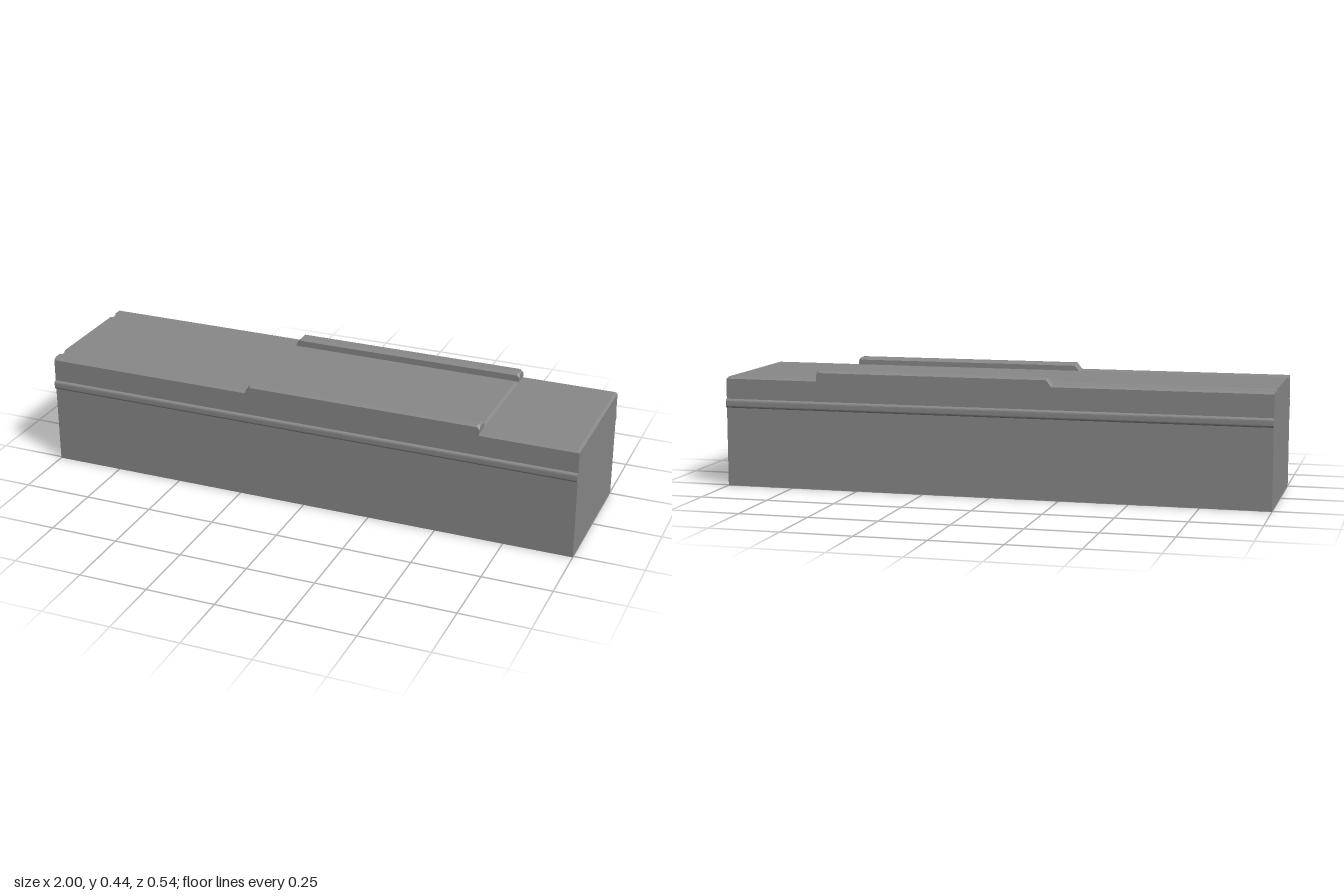
import * as THREE from 'three';

const material = new THREE.MeshStandardMaterial({ color: 0x888888, flatShading: true });

function makeMesh(name, geometry) {
  geometry.computeVertexNormals();
  const mesh = new THREE.Mesh(geometry, material);
  mesh.name = name;
  return mesh;
}

// Block centred on z, its top face drawn in at the right end and both sides
function taperedBlock(name, [x0, x1], [y0, y1], halfWidth, inset = 0) {
  const geometry = new THREE.BoxGeometry(x1 - x0, y1 - y0, halfWidth * 2);
  geometry.translate((x0 + x1) / 2, (y0 + y1) / 2, 0);
  const p = geometry.attributes.position;
  for (let i = 0; i < p.count; i++) {
    if (p.getY(i) < (y0 + y1) / 2) continue;
    if (p.getX(i) > (x0 + x1) / 2) p.setX(i, p.getX(i) - inset);
    p.setZ(i, p.getZ(i) - Math.sign(p.getZ(i)) * inset);
  }
  return makeMesh(name, geometry);
}

// Rail with chamfered top edges that steps from low to high along its length
function steppedRail(name, z) {
  const stations = [[-1, 0.413], [-0.224, 0.413], [-0.205, 0.437], [0.642, 0.437], [0.65, 0.428]];
  const floor = 0.397;
  // Heights in this profile are relative to the rail top; the bottom stays on the floor
  const profile = new THREE.Shape([
    [-0.0265, -1], [0.0265, -1], [0.0265, -0.009], [0.0155, 0], [-0.0155, 0], [-0.0265, -0.009],
  ].map(([x, y]) => new THREE.Vector2(x, y)));
  const steps = stations.length - 1;
  const geometry = new THREE.ExtrudeGeometry(profile, { depth: steps, steps, bevelEnabled: false });
  const p = geometry.attributes.position;
  for (let i = 0; i < p.count; i++) {
    const [x, top] = stations[Math.round(p.getZ(i))];
    p.setXYZ(i, x, Math.max(floor, top + p.getY(i)), z - p.getX(i));
  }
  return makeMesh(name, geometry);
}

// Rounded bead running the full length of one side
function sideBead(name) {
  const s = new THREE.Shape();
  s.moveTo(0.25, 0.29);
  s.lineTo(0.259, 0.29);
  s.quadraticCurveTo(0.268, 0.291, 0.268, 0.301);
  s.lineTo(0.268, 0.312);
  s.quadraticCurveTo(0.268, 0.322, 0.259, 0.323);
  s.lineTo(0.25, 0.323);
  s.closePath();
  const geometry = new THREE.ExtrudeGeometry(s, { depth: 2, bevelEnabled: false, curveSegments: 5 });
  geometry.translate(0, 0, -1).rotateY(Math.PI / 2);
  return makeMesh(name, geometry);
}

export function createModel() {
  const model = new THREE.Group();
  model.name = 'slide';

  // Main body with a chamfered upper edge, and the raised plate on it
  model.add(
    taperedBlock('body', [-1, 1], [0, 0.397], 0.258),
    taperedBlock('bodyTop', [-1, 1], [0.397, 0.405], 0.258, 0.008),
    taperedBlock('centrePlate', [-1, 0.65], [0.405, 0.413], 0.185, 0.008)
  );

  // A rail on each top edge
  model.add(steppedRail('frontRail', 0.2315), steppedRail('backRail', -0.2315));

  // A bead along each side
  const backBead = sideBead('backBead');
  const frontBead = sideBead('frontBead');
  frontBead.rotation.y = Math.PI;
  model.add(backBead, frontBead);
  return model;
}
